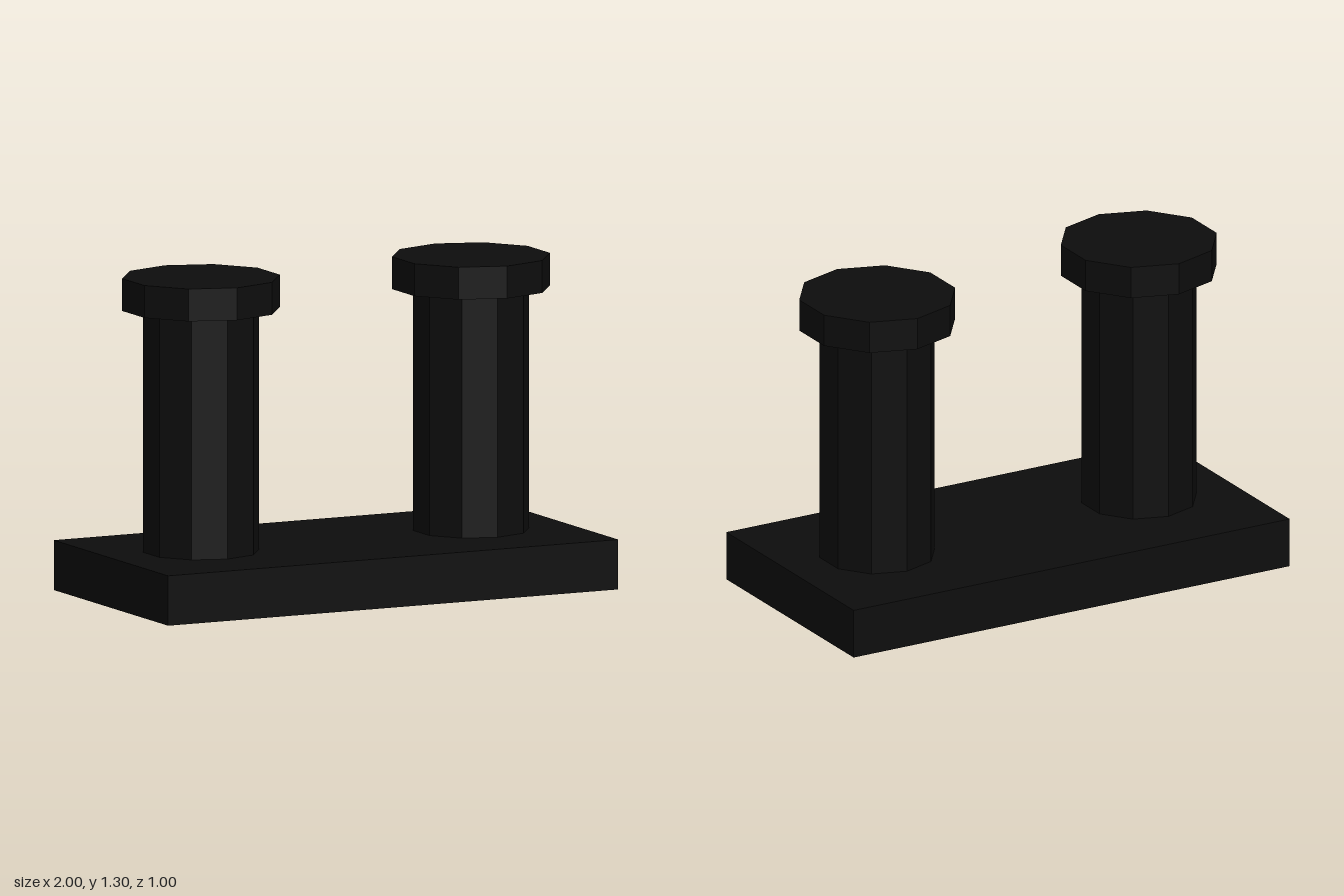
import * as THREE from 'three';

export function createModel() {
  const group = new THREE.Group();
  const black = new THREE.MeshStandardMaterial({ color: 0x0d0d0d, flatShading: true });
  black.name = 'black';

  const add = (name, geometry, x, y) => {
    const mesh = new THREE.Mesh(geometry, black);
    mesh.name = name;
    mesh.position.set(x, y, 0);
    group.add(mesh);
  };

  // Upright ten-sided prism between two heights
  const prism = (radius, bottom, top) =>
    new THREE.CylinderGeometry(radius, radius, top - bottom, 10).translate(0, (bottom + top) / 2, 0);

  // Base plate
  add('basePlate', new THREE.BoxGeometry(2, 0.2, 1), 0, 0.1);

  // Pair of mooring posts, each with a wider cap
  for (const [side, x] of [['left', 0.6], ['right', -0.6]]) {
    add(side + 'Post', prism(0.233, 0.2, 1.17), x, 0);
    add(side + 'Cap', prism(0.316, 1.17, 1.3), x, 0);
  }

  return group;
}
